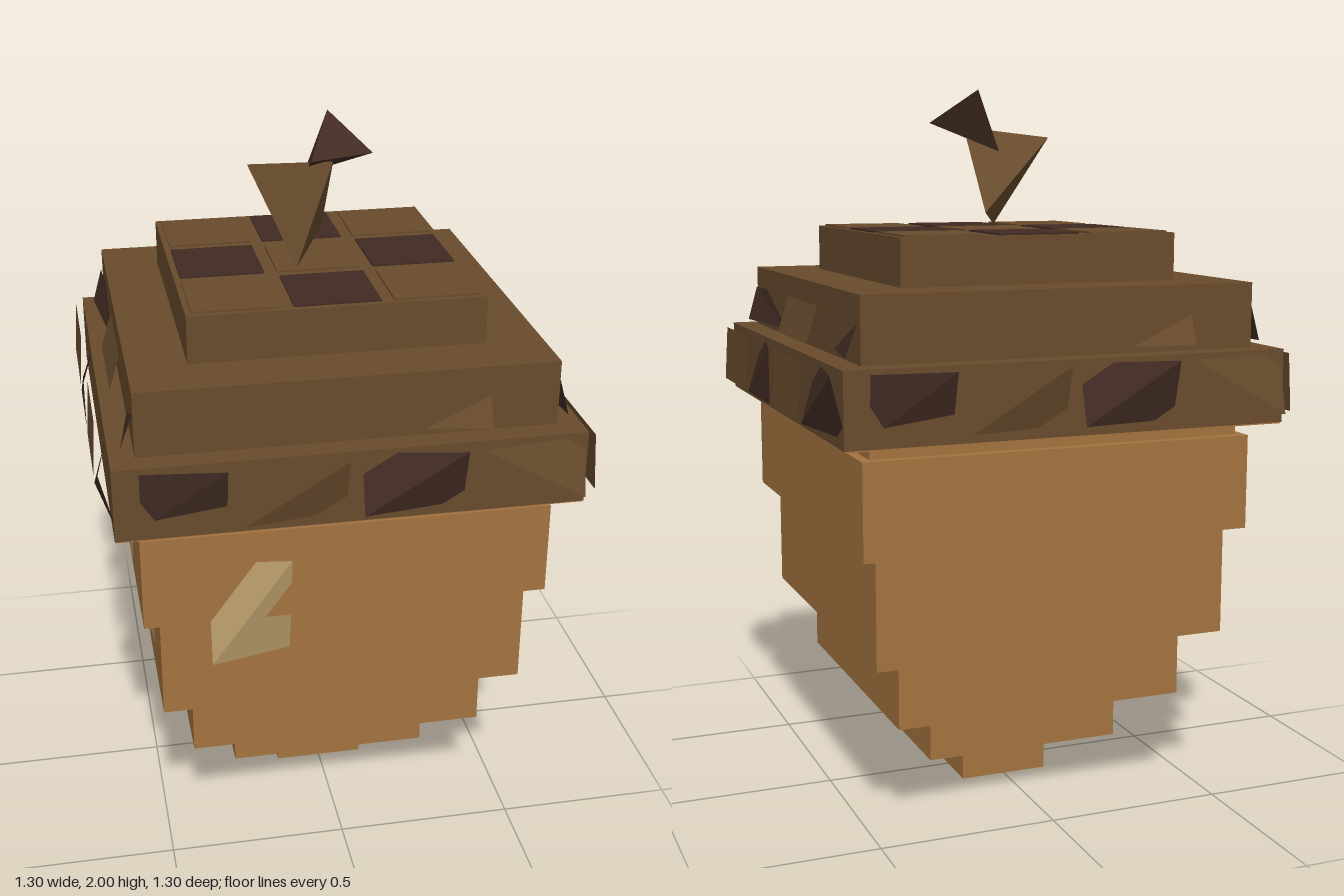
import * as THREE from 'three';
import { ConvexGeometry } from 'three/addons/geometries/ConvexGeometry.js';

export function createModel() {
  const model = new THREE.Group();
  model.name = 'acorn';

  const material = (name, color) => {
    const m = new THREE.MeshStandardMaterial({ color, flatShading: true, side: THREE.DoubleSide });
    m.name = name;
    return m;
  };
  const nut = material('nut brown', 0xa4733f);
  const cap = material('cap brown', 0x684b2d);
  const dark = material('dark bark', 0x412b23);
  const pale = material('pale highlight', 0xb99d6b);

  const add = (name, geometry, mat) => {
    const mesh = new THREE.Mesh(geometry, mat);
    mesh.name = name;
    model.add(mesh);
    return mesh;
  };

  // Square tier between two heights
  const tier = (name, y0, y1, half, mat) => {
    add(name, new THREE.BoxGeometry(half * 2, y1 - y0, half * 2), mat).position.y = (y0 + y1) / 2;
  };

  // Warped four-cornered flake on one side (0 front, 1 +x, 2 back, 3 -x).
  // depths: distance from the axis at top left, top right, bottom left, bottom right;
  // corners that dip below the tier are hidden by it. fold picks the crease direction.
  const flake = (name, side, mat, [u0, u1], [y0, y1], [tl, tr, bl, br], fold) => {
    const indexed = new THREE.BufferGeometry();
    indexed.setAttribute('position', new THREE.Float32BufferAttribute(
      [u0, y1, tl, u1, y1, tr, u0, y0, bl, u1, y0, br], 3));
    indexed.setIndex(fold === 'down' ? [0, 2, 3, 0, 3, 1] : [0, 2, 1, 2, 3, 1]);
    const geo = indexed.toNonIndexed();
    geo.rotateY(side * Math.PI / 2);
    geo.computeVertexNormals();
    add(name, geo, mat);
  };

  // Stepped nut
  [
    [0, 0.137, 0.13], [0.137, 0.292, 0.285], [0.292, 0.492, 0.42],
    [0.492, 0.798, 0.508], [0.798, 1.06, 0.553], [1.06, 1.103, 0.527],
  ].forEach(([y0, y1, half], i) => tier('nutTier' + (i + 1), y0, y1, half, nut));
  // Nut-coloured underside of the cap rim
  tier('rimUnderside', 1.099, 1.104, 0.615, nut);

  // Stepped cap
  [[1.103, 1.303, 0.618], [1.303, 1.48, 0.553], [1.48, 1.61, 0.396]]
    .forEach(([y0, y1, half], i) => tier('capTier' + (i + 1), y0, y1, half, cap));

  // Flakes around the rim and on the middle cap tier: front/back set, then the two sides
  const rim = [1.13, 1.29];
  const upper = [1.32, 1.42];
  const frontFlakes = [
    [dark, [-0.55, -0.33], rim, [0.624, 0.65, 0.612, 0.604]],
    [cap, [-0.29, -0.02], rim, [0.65, 0.65, 0.65, 0.604]],
    [dark, [0.02, 0.29], rim, [0.602, 0.65, 0.65, 0.609]],
    [cap, [0.33, 0.61], rim, [0.65, 0.61, 0.65, 0.65], 'down'],
    [cap, [0.2, 0.37], [1.32, 1.4], [0.53, 0.553, 0.553, 0.587]],
  ];
  const sideFlakes = [
    [cap, [-0.61, -0.33], rim, [0.64, 0.64, 0.65, 0.65]],
    [dark, [-0.29, -0.02], rim, [0.6, 0.65, 0.65, 0.65]],
    [cap, [0.02, 0.29], rim, [0.64, 0.64, 0.65, 0.65]],
    [dark, [0.33, 0.61], rim, [0.604, 0.65, 0.65, 0.61]],
    [dark, [-0.54, -0.21], upper, [0.559, 0.541, 0.587, 0.554], 'down'],
    [cap, [-0.16, 0.16], upper, [0.556, 0.556, 0.587, 0.587]],
    [dark, [0.31, 0.53], [1.32, 1.41], [0.53, 0.553, 0.553, 0.587]],
  ];
  for (let side = 0; side < 4; side++) {
    for (const flakeData of side % 2 ? sideFlakes : frontFlakes) flake('capFlake', side, ...flakeData);
  }

  // Chequered scales on the crown
  for (let i = -1; i <= 1; i++) {
    for (let j = -1; j <= 1; j++) {
      const mat = (i + j) % 2 ? dark : cap;
      add('crownScale', new THREE.BoxGeometry(0.23, 0.008, 0.23), mat).position.set(i * 0.265, 1.611, j * 0.265);
    }
  }

  // Pale highlights on the nut
  flake('frontHighlight', 0, pale, [-0.375, -0.155], [0.67, 0.97], [0.536, 0.566, 0.566, 0.513]);
  flake('sideHighlight', 3, pale, [0.19, 0.43], [0.67, 0.93], [0.566, 0.535, 0.54, 0.515]);

  // Stem of two sharp splinters
  const splinter = (name, pts, mat) =>
    add(name, new ConvexGeometry(pts.map((p) => new THREE.Vector3(...p))), mat);
  splinter('stem', [[-0.06, 1.62, 0.11], [0.05, 1.66, -0.11], [0.045, 1.9, 0.08], [-0.17, 1.87, -0.04]], cap);
  splinter('stemTip', [[-0.02, 1.91, 0.11], [0.06, 2, -0.08], [0.16, 1.91, 0.05], [-0.01, 1.83, -0.06]], dark);

  return model;
}
